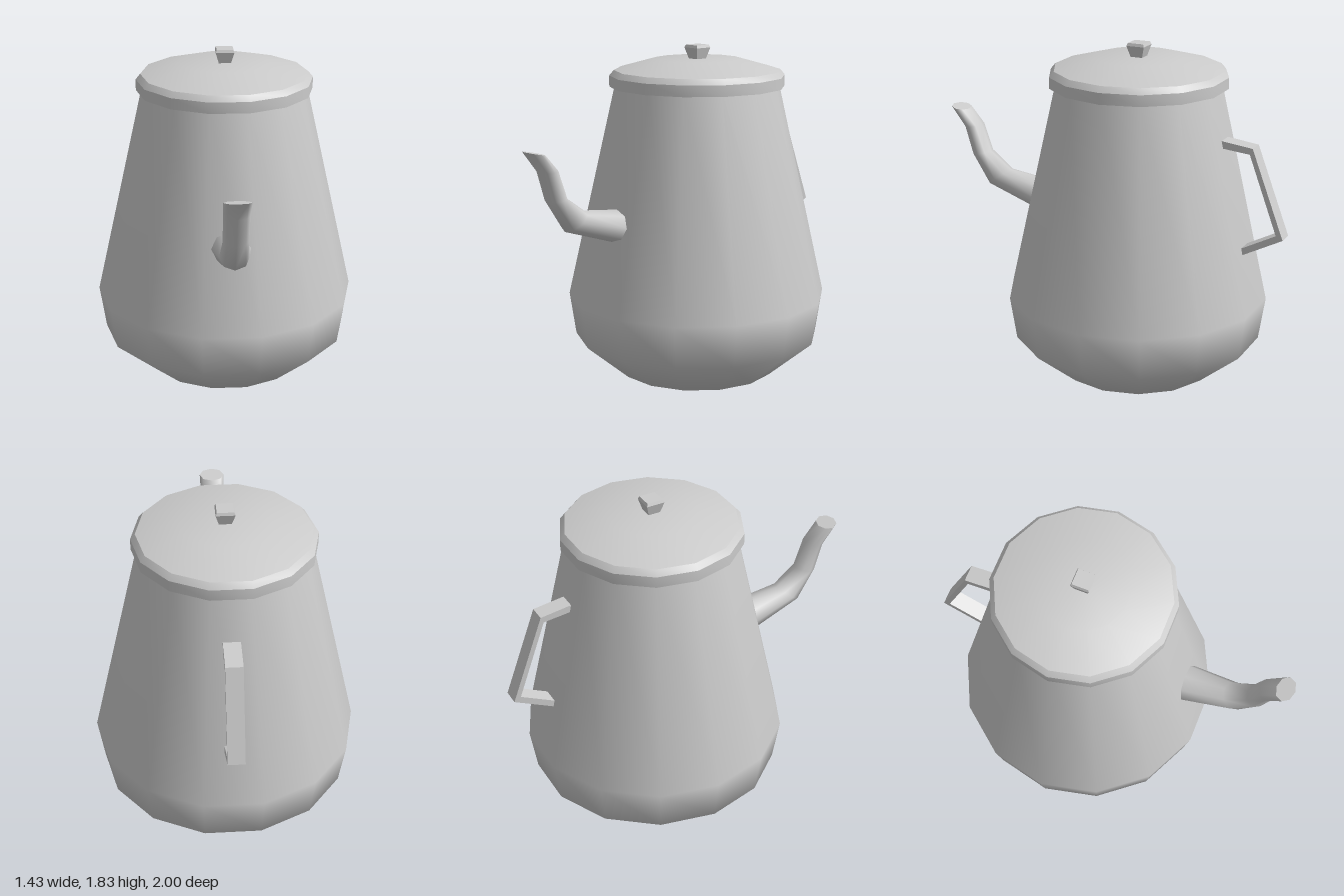
import * as THREE from 'three';
import { toCreasedNormals } from 'three/addons/utils/BufferGeometryUtils.js';

const material = new THREE.MeshStandardMaterial({ color: 0xcccccc });
const SIDES = 14;
const AXIS_Z = -0.155; // centre line of the pot

function addPart(group, name, geometry, z = 0) {
  const mesh = new THREE.Mesh(geometry, material);
  mesh.name = name;
  mesh.position.z = z;
  group.add(mesh);
}

// Fourteen-sided turned shape with a corner on the x axis
function turned(profile) {
  const points = profile.map(([r, y]) => new THREE.Vector2(r, y));
  return new THREE.LatheGeometry(points, SIDES, Math.PI / 2);
}

// Bent spout: each section is [top z, top y, bottom z, bottom y, half width]
function spoutGeometry(sections, sides = 8) {
  const positions = [];
  const index = [];
  const addRing = ([tz, ty, bz, by, w]) => {
    for (let j = 0; j < sides; j++) {
      const a = (j / sides) * Math.PI * 2;
      const c = Math.cos(a) / 2;
      positions.push(w * Math.sin(a), (ty + by) / 2 + (ty - by) * c, (tz + bz) / 2 + (tz - bz) * c);
    }
  };
  sections.forEach(addRing);
  for (let i = 0; i < sections.length - 1; i++) {
    for (let j = 0; j < sides; j++) {
      const k = (j + 1) % sides;
      const a = i * sides + j, b = i * sides + k;
      index.push(a, a + sides, b, b, a + sides, b + sides);
    }
  }
  // Mouth, on its own ring so that the lip stays sharp
  const start = sections.length * sides;
  addRing(sections[sections.length - 1]);
  for (let j = 1; j < sides - 1; j++) index.push(start, start + j + 1, start + j);

  const geometry = new THREE.BufferGeometry();
  geometry.setAttribute('position', new THREE.Float32BufferAttribute(positions, 3));
  geometry.setIndex(index);
  geometry.computeVertexNormals();
  return geometry;
}

export function createModel() {
  const model = new THREE.Group();
  model.name = 'kettle';

  addPart(model, 'body', turned([[0, 0], [0.435, 0], [0.68, 0.205], [0.715, 0.44], [0.45, 1.61]]), AXIS_Z);

  // Lid with overhanging rim, narrow bevel and shallow crown
  const lid = turned([[0, 1.6], [0.48, 1.6], [0.48, 1.66], [0.455, 1.69], [0.24, 1.75], [0, 1.75]]);
  addPart(model, 'lid', toCreasedNormals(lid, 0.5), AXIS_Z);

  // Square knob, flared upwards with a chamfered top
  const knob = new THREE.LatheGeometry(
    [[0.03, 1.74], [0.05, 1.81], [0.044, 1.825], [0, 1.825]].map(([h, y]) => new THREE.Vector2(h * Math.SQRT2, y)),
    4, Math.PI / 4);
  addPart(model, 'knob', toCreasedNormals(knob, 0.3), AXIS_Z);

  addPart(model, 'spout', spoutGeometry([
    [0.40, 0.99, 0.42, 0.81, 0.107],
    [0.64, 1.02, 0.765, 0.925, 0.077],
    [0.765, 1.11, 0.87, 1.095, 0.066],
    [0.82, 1.26, 0.915, 1.25, 0.066],
    [0.9, 1.345, 1.0, 1.365, 0.07],
  ]));

  // Angular handle: outline of [distance behind centre, height], extruded across x
  const outline = [
    [0.62, 1.364], [0.82, 1.34], [1.0, 0.867], [0.75, 0.735],
    [0.75, 0.775], [0.962, 0.887], [0.805, 1.307], [0.62, 1.324],
  ].map(([d, y]) => new THREE.Vector2(d, y));
  const handle = new THREE.ExtrudeGeometry(new THREE.Shape(outline), { depth: 0.09, bevelEnabled: false });
  handle.translate(0, 0, -0.045).rotateY(Math.PI / 2);
  addPart(model, 'handle', handle);

  return model;
}
